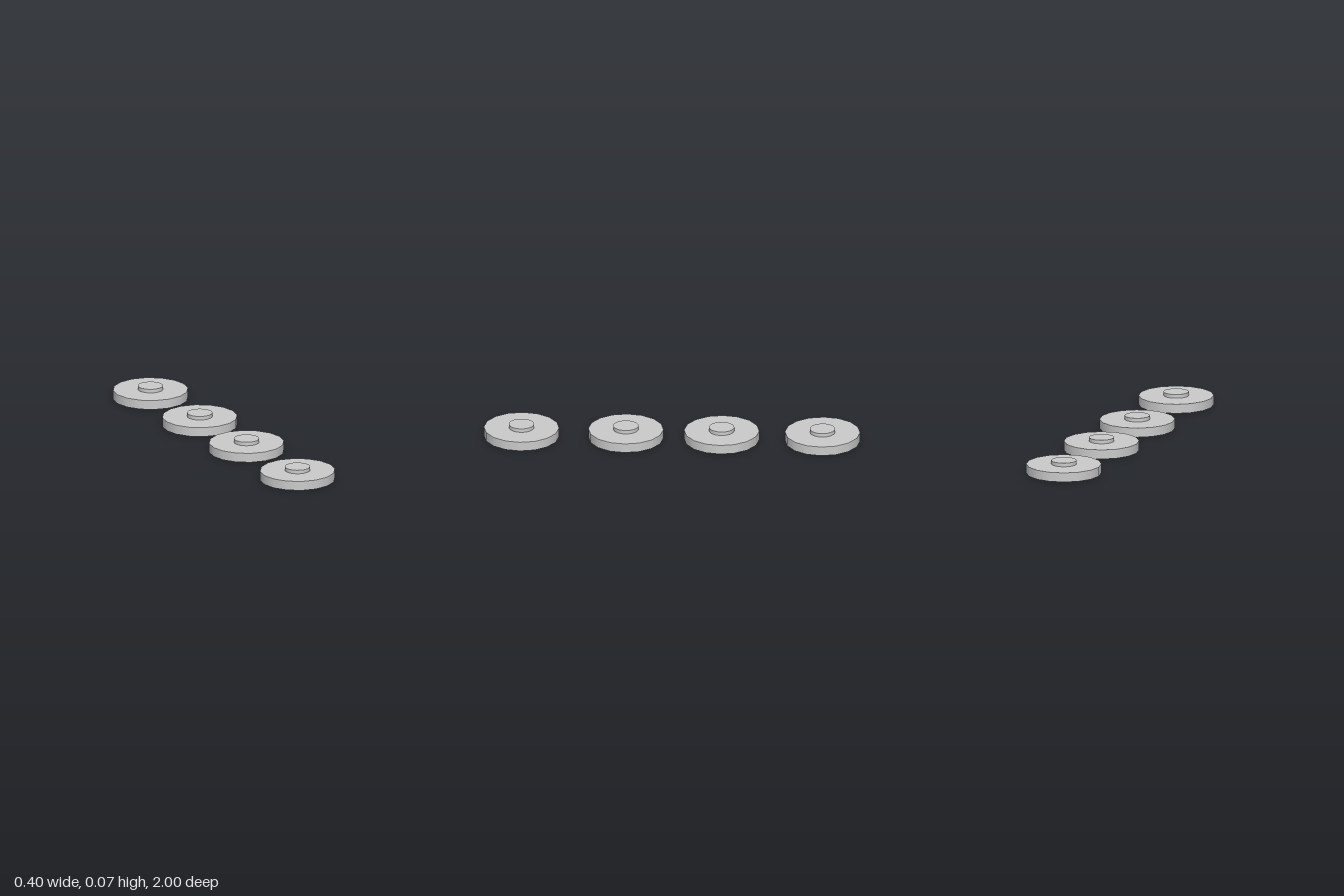
import * as THREE from 'three';

const material = new THREE.MeshStandardMaterial({ color: 0xcccccc });

// Upright cylinder standing on height y
function disc(name, radius, height, sides, y) {
  const geometry = new THREE.CylinderGeometry(radius, radius, height, sides);
  geometry.translate(0, y + height / 2, 0);
  const mesh = new THREE.Mesh(geometry, material);
  mesh.name = name;
  return mesh;
}

export function createModel() {
  const model = new THREE.Group();
  model.name = 'discRow';

  // Four separate stepped discs in a row from front to back
  [0.8, 0.245, -0.264, -0.8].forEach((z, i) => {
    const unit = new THREE.Group();
    unit.name = `steppedDisc${i + 1}`;
    unit.add(disc('base', 0.2, 0.05, 16, 0));
    unit.add(disc('hub', 0.067, 0.02, 32, 0.05));
    unit.position.z = z;
    model.add(unit);
  });

  return model;
}
